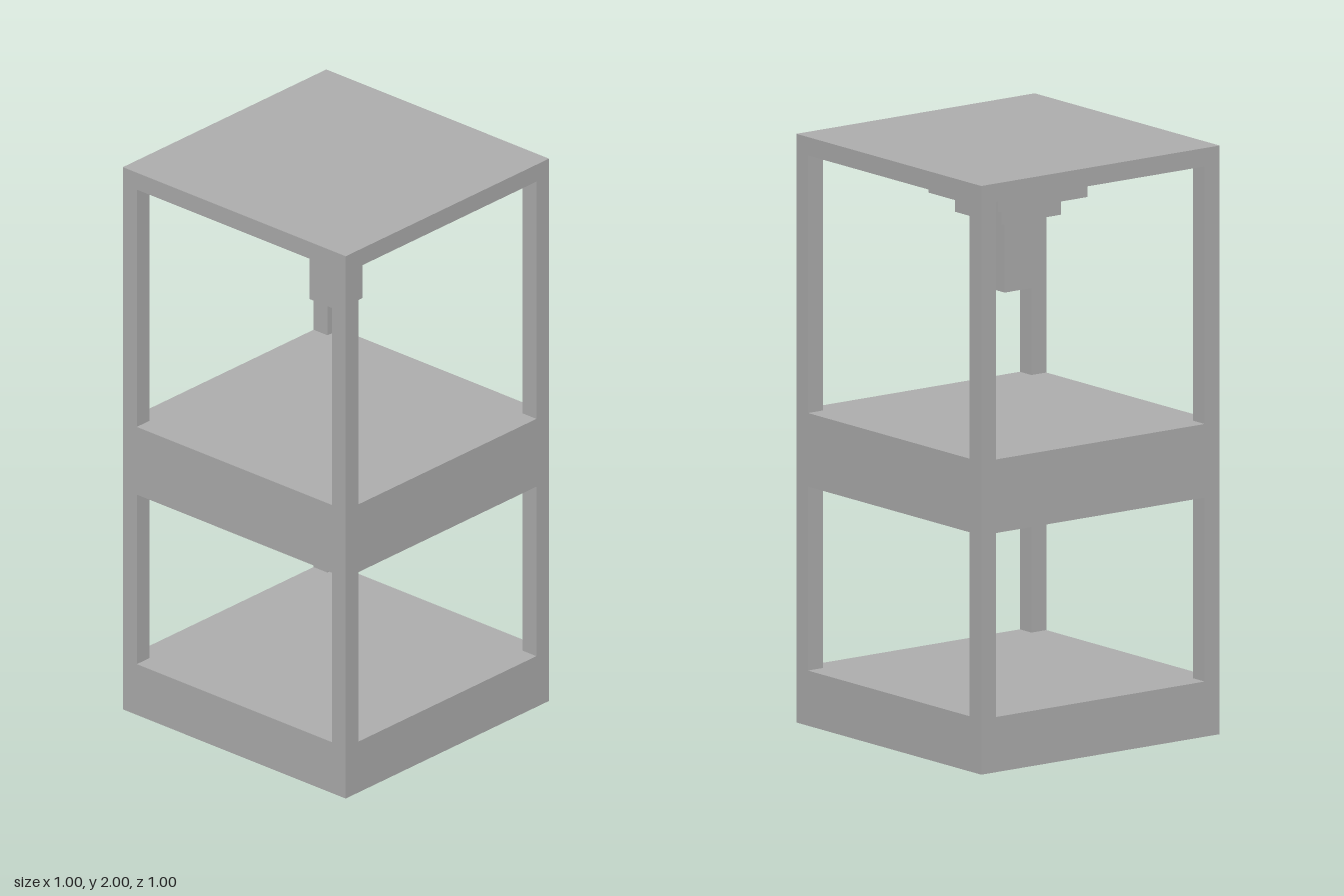
import * as THREE from 'three';

export function createModel() {
  const model = new THREE.Group();
  model.name = 'frameTower';

  const grey = new THREE.MeshStandardMaterial({ color: 0xb0b0b0 });
  grey.name = 'plain grey';

  const U = 1 / 16; // every part sits on a 1/16 grid

  // Square block of the given width, from bottom to top, in grid units
  function block(name, width, bottom, top, x = 0, z = 0) {
    const geometry = new THREE.BoxGeometry(width * U, (top - bottom) * U, width * U);
    const mesh = new THREE.Mesh(geometry, grey);
    mesh.name = name;
    mesh.position.set(x * U, ((bottom + top) / 2) * U, z * U);
    model.add(mesh);
  }

  // Solid slabs
  block('base', 16, 0, 3);
  block('middleShelf', 16, 13, 17);
  block('topPlate', 16, 31, 32);

  // Corner posts between the slabs
  for (const x of [-7.5, 7.5]) {
    for (const z of [-7.5, 7.5]) {
      block('lowerPost', 1, 3, 13, x, z);
      block('upperPost', 1, 17, 31, x, z);
    }
  }

  // Stepped press head hanging from the top plate
  block('headMount', 6, 29, 31);
  block('headCollar', 4, 28, 29);
  block('headRod', 2, 24, 28);

  return model;
}
